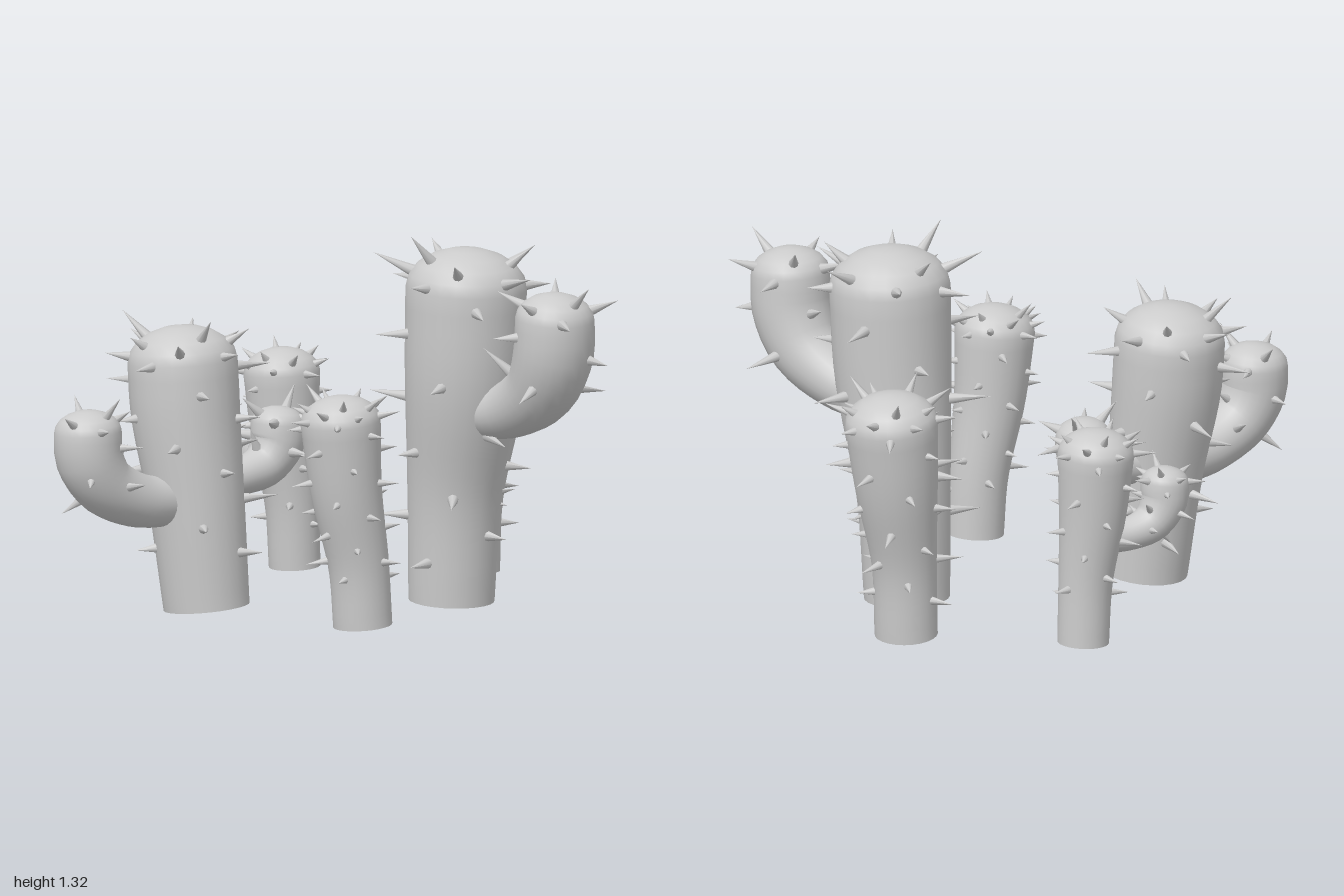
import * as THREE from 'three';
import { mergeGeometries } from 'three/addons/utils/BufferGeometryUtils.js';

const SIDES = 24, RINGS = 16, DOME = 5;

// Each limb: centre line points as [x, y, z, radius], spine count, spine length,
// first spine position along the limb, and spine turn offset
const limbs = {
  tallTrunk: { path: [[0.41, 0.015, 0, 0.15], [0.42, 0.4, 0.015, 0.165], [0.445, 0.8, 0.07, 0.203], [0.455, 1.13, 0.08, 0.212]], n: 30, len: 0.13, from: 0.1, turn: 0.4 },
  tallTrunkArm: { path: [[0.47, 0.7, 0.12, 0.085], [0.58, 0.72, 0.24, 0.098], [0.69, 0.82, 0.37, 0.125], [0.73, 0.95, 0.43, 0.14], [0.735, 1.08, 0.44, 0.138]], n: 13, len: 0.12, from: 0.45, turn: 0 },
  leftTrunk: { path: [[-0.45, 0.02, 0.1, 0.15], [-0.485, 0.4, 0.085, 0.168], [-0.52, 0.7, 0.06, 0.19], [-0.53, 0.88, 0.05, 0.192]], n: 32, len: 0.11, from: 0.15, turn: 1.2 },
  leftTrunkOuterArm: { path: [[-0.58, 0.4, 0.14, 0.085], [-0.7, 0.42, 0.22, 0.095], [-0.82, 0.49, 0.285, 0.108], [-0.875, 0.59, 0.31, 0.118], [-0.88, 0.68, 0.31, 0.118]], n: 15, len: 0.085, from: 0.4, turn: 2 },
  leftTrunkInnerArm: { path: [[-0.42, 0.44, 0.01, 0.06], [-0.32, 0.45, -0.05, 0.065], [-0.23, 0.48, -0.12, 0.08], [-0.185, 0.55, -0.155, 0.096], [-0.18, 0.615, -0.16, 0.096]], n: 10, len: 0.12, from: 0.5, turn: 0.5 },
  frontTrunk: { path: [[0.055, 0.035, 0.585, 0.103], [0.04, 0.25, 0.59, 0.106], [-0.005, 0.52, 0.61, 0.125], [-0.025, 0.76, 0.62, 0.14]], n: 42, len: 0.07, from: 0.2, turn: 0.8 },
  backTrunk: { path: [[-0.085, 0.025, -0.64, 0.09], [-0.095, 0.25, -0.635, 0.095], [-0.12, 0.5, -0.635, 0.118], [-0.13, 0.71, -0.64, 0.134]], n: 34, len: 0.07, from: 0.2, turn: 0.1 },
  backTrunkArm: { path: [[-0.16, 0.4, -0.635, 0.055], [-0.25, 0.4, -0.615, 0.058], [-0.34, 0.43, -0.585, 0.07], [-0.385, 0.5, -0.565, 0.083], [-0.39, 0.565, -0.56, 0.084]], n: 18, len: 0.06, from: 0.4, turn: 1.5 },
  rightBackTrunk: { path: [[0.505, 0.035, -0.46, 0.11], [0.515, 0.3, -0.475, 0.114], [0.55, 0.6, -0.51, 0.145], [0.57, 0.83, -0.525, 0.163]], n: 40, len: 0.085, from: 0.12, turn: 2.3 },
};

// Returns surface(t, angle): t 0..1 runs up the tube, 1..2 over the domed tip
function limbSurface(path) {
  const line = new THREE.CatmullRomCurve3(path.map(([x, y, z]) => new THREE.Vector3(x, y, z)));
  const radius = new THREE.CatmullRomCurve3(path.map(p => new THREE.Vector3(p[3], 0, 0)), false, 'catmullrom');
  const steps = 100;
  const frames = line.computeFrenetFrames(steps);
  return (t, angle) => {
    const u = Math.min(t, 1), k = Math.round(u * steps);
    const a = Math.max(t - 1, 0) * Math.PI / 2;
    const r = radius.getPoint(line.getUtoTmapping(u)).x;
    const out = frames.normals[k].clone().multiplyScalar(Math.cos(angle))
      .addScaledVector(frames.binormals[k], Math.sin(angle));
    const along = frames.tangents[k];
    const point = line.getPointAt(u).addScaledVector(out, r * Math.cos(a)).addScaledVector(along, 0.65 * r * Math.sin(a));
    const normal = out.multiplyScalar(Math.cos(a)).addScaledVector(along, Math.sin(a)).normalize();
    return { point, normal };
  };
}

// Smooth tube with an open base and a closed domed tip
function limbGeometry(surface) {
  const levels = [];
  for (let i = 0; i <= RINGS; i++) levels.push(i / RINGS);
  for (let i = 1; i < DOME; i++) levels.push(1 + i / DOME);
  const pos = [], index = [];
  for (const t of levels)
    for (let j = 0; j < SIDES; j++) pos.push(...surface(t, j / SIDES * Math.PI * 2).point.toArray());
  pos.push(...surface(2, 0).point.toArray());
  const tip = levels.length * SIDES;
  for (let i = 0; i < levels.length; i++) {
    for (let j = 0; j < SIDES; j++) {
      const a = i * SIDES + j, b = i * SIDES + (j + 1) % SIDES;
      if (i === levels.length - 1) index.push(a, b, tip);
      else index.push(a, b, a + SIDES, b, b + SIDES, a + SIDES);
    }
  }
  const g = new THREE.BufferGeometry();
  g.setAttribute('position', new THREE.Float32BufferAttribute(pos, 3));
  g.setIndex(index);
  g.computeVertexNormals();
  return g;
}

// Cones spread in a spiral, closer together towards the tip
function spineGeometry(surface, { n, len, from, turn }) {
  const up = new THREE.Vector3(0, 1, 0), spines = [];
  for (let i = 0; i < n; i++) {
    const t = 1.55 - (1.55 - from) * Math.pow((i + 0.2) / n, 0.9);
    const { point, normal } = surface(t, turn + i * 2.4);
    const length = len * (0.85 + 0.25 * Math.sin(i * 5.3 + turn));
    if (Math.abs(point.x + normal.x * length) > 1) continue;
    const cone = new THREE.ConeGeometry(0.012 + len * 0.08, length + 0.02, 8, 1, true);
    cone.translate(0, length / 2 - 0.01, 0);
    cone.applyQuaternion(new THREE.Quaternion().setFromUnitVectors(up, normal));
    spines.push(cone.translate(point.x, point.y, point.z));
  }
  return mergeGeometries(spines);
}

export function createModel() {
  const model = new THREE.Group();
  model.name = 'cactusCluster';
  const material = new THREE.MeshStandardMaterial({ color: 0xcccccc, side: THREE.DoubleSide });
  for (const [name, limb] of Object.entries(limbs)) {
    const surface = limbSurface(limb.path);
    const group = new THREE.Group();
    group.name = name;
    const body = new THREE.Mesh(limbGeometry(surface), material);
    body.name = name + 'Body';
    const spines = new THREE.Mesh(spineGeometry(surface, limb), material);
    spines.name = name + 'Spines';
    group.add(body, spines);
    model.add(group);
  }
  return model;
}
